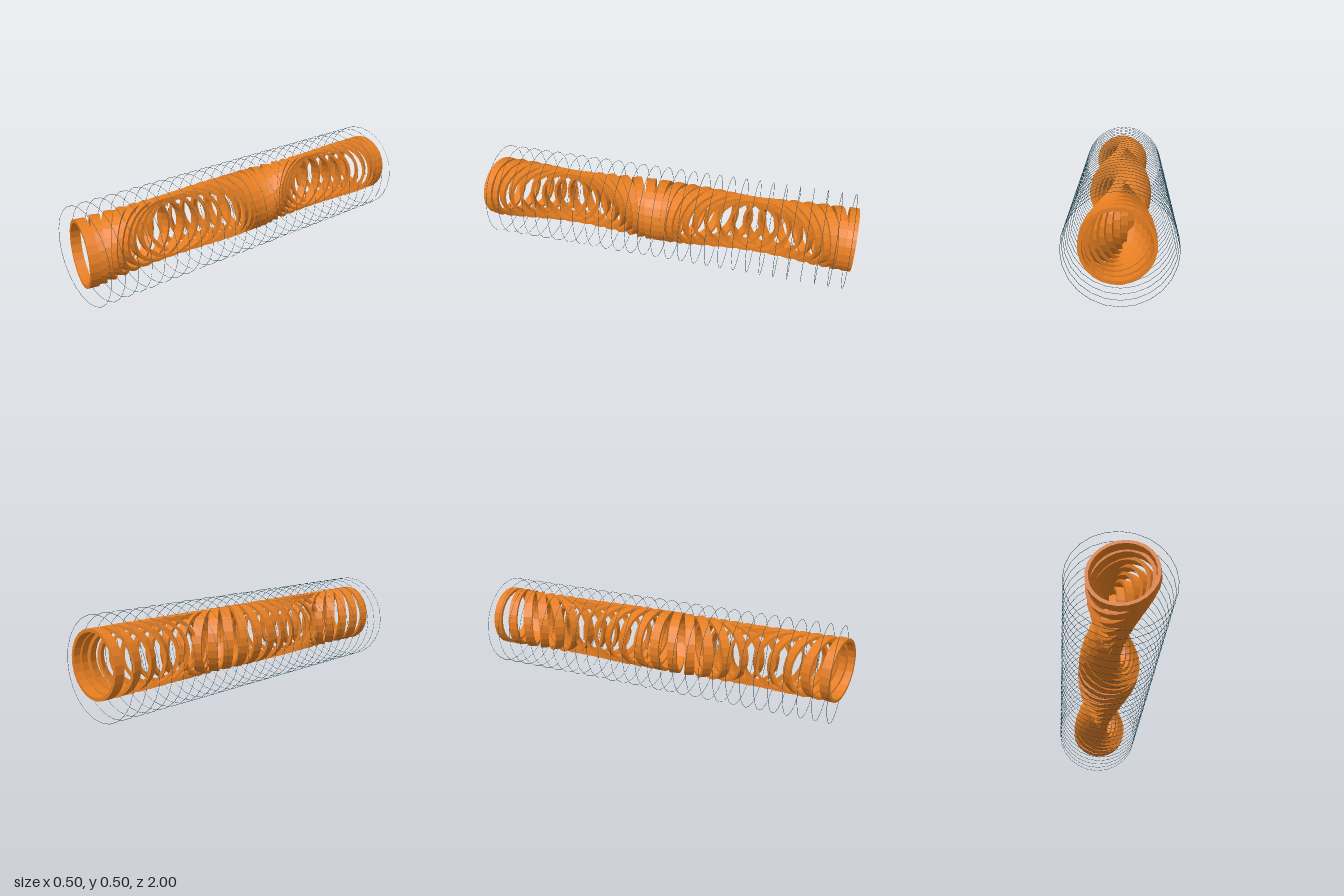
import * as THREE from 'three';

const SIDES = 24;
const START_Z = -0.976;

export function createModel() {
  const model = new THREE.Group();
  model.name = 'twistedRingTunnel';

  const orange = new THREE.MeshStandardMaterial({ color: 0xe67e22, flatShading: true });
  const slate = new THREE.MeshStandardMaterial({ color: 0x2f4f5f, flatShading: true });

  // Flat band ring: rectangular section turned around the z axis
  const inner = 0.148, outer = 0.164, half = 0.024;
  const section = [
    [inner, -half], [outer, -half], [outer, half], [inner, half], [inner, -half],
  ].map(([r, h]) => new THREE.Vector2(r, h));
  const bandGeometry = new THREE.LatheGeometry(section, SIDES, Math.PI / SIDES);
  bandGeometry.rotateX(Math.PI / 2);

  // Bands make one full turn about the vertical along the tunnel
  const bands = new THREE.Group();
  bands.name = 'twistingBands';
  const bandCount = 30;
  for (let i = 0; i < bandCount; i++) {
    const band = new THREE.Mesh(bandGeometry, orange);
    band.name = 'band';
    band.position.set(0.01, 0.27, START_Z + i * 0.0662);
    band.rotation.y = (i / bandCount) * Math.PI * 2;
    bands.add(band);
  }
  model.add(bands);

  // Hair-thin hoops surrounding the bands
  const wire = 0.001, hoopRadius = 0.2465;
  const hoopGeometry = new THREE.TorusGeometry(hoopRadius, wire, 4, SIDES);
  const hoops = new THREE.Group();
  hoops.name = 'outerHoops';
  for (let i = 0; i < 28; i++) {
    const hoop = new THREE.Mesh(hoopGeometry, slate);
    hoop.name = 'hoop';
    hoop.position.set(0, hoopRadius + wire, START_Z + i * 0.0712);
    hoops.add(hoop);
  }
  model.add(hoops);

  return model;
}
